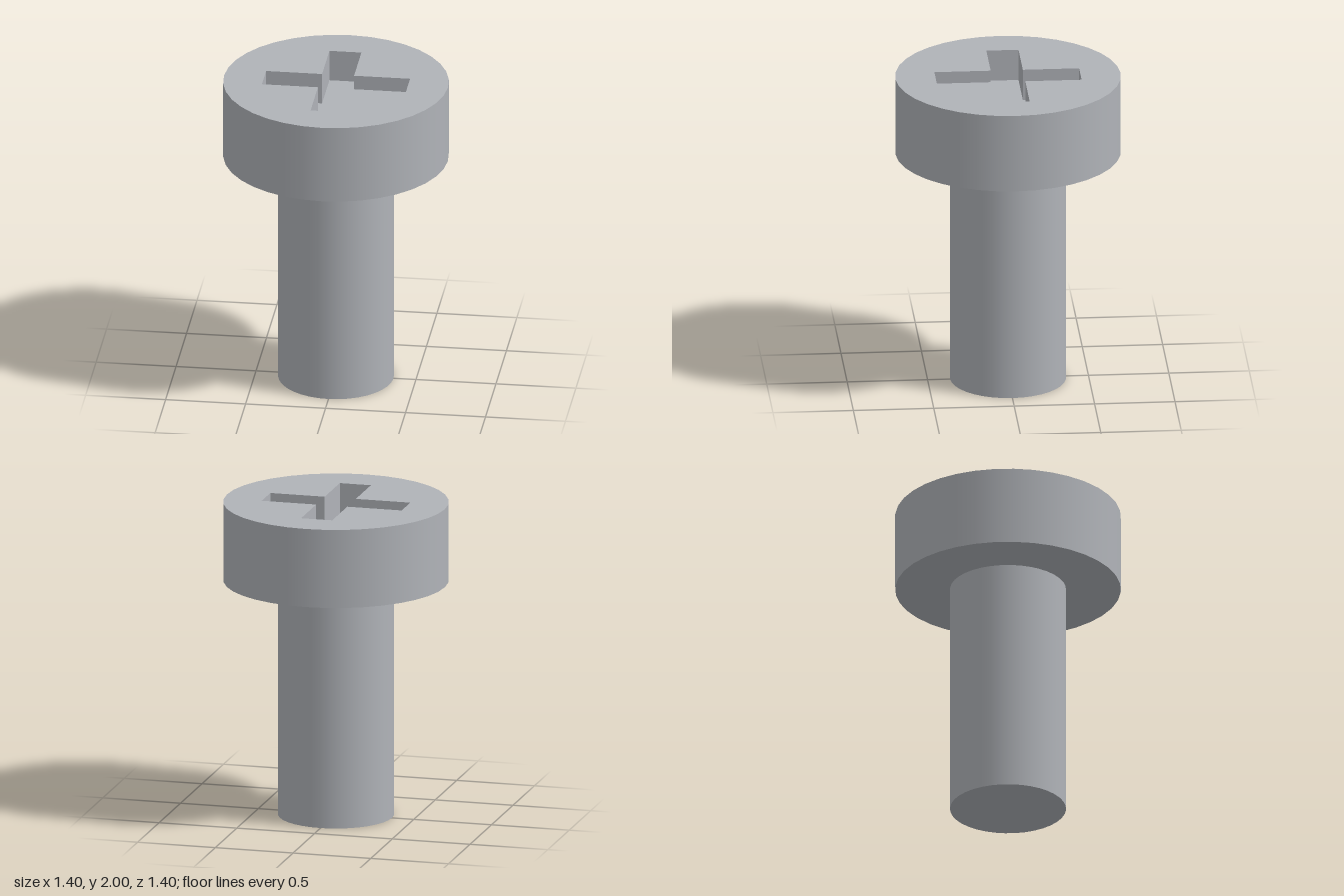
import * as THREE from 'three';

const SEGMENTS = 36;
const HEAD_R = 0.7, HEAD_BOTTOM = 1.5, TOP = 2;
const SHAFT_R = 0.36;
const ARM = 0.45, HALF = 0.1, SLOT_DEPTH = 0.2;

// Outline of the cross recess, counter-clockwise
function crossPoints() {
  return [
    [HALF, HALF], [HALF, ARM], [-HALF, ARM], [-HALF, HALF],
    [-ARM, HALF], [-ARM, -HALF], [-HALF, -HALF], [-HALF, -ARM],
    [HALF, -ARM], [HALF, -HALF], [ARM, -HALF], [ARM, HALF],
  ].map(([x, y]) => new THREE.Vector2(x, y));
}

function discPoints(radius) {
  return Array.from({ length: SEGMENTS }, (_, i) => {
    const a = (i / SEGMENTS) * Math.PI * 2;
    return new THREE.Vector2(radius * Math.cos(a), radius * Math.sin(a));
  });
}

export function createModel() {
  const steel = new THREE.MeshStandardMaterial({ color: 0xb0b3b8 });
  steel.name = 'steel grey';

  const screw = new THREE.Group();
  screw.name = 'screw';
  const head = new THREE.Group();
  head.name = 'head';
  const recess = new THREE.Group();
  recess.name = 'crossRecess';
  head.add(recess);
  screw.add(head);

  function add(parent, name, geometry, y) {
    const mesh = new THREE.Mesh(geometry, steel);
    mesh.name = name;
    mesh.position.y = y;
    parent.add(mesh);
    return mesh;
  }

  // Shaft
  add(screw, 'shaft',
    new THREE.CylinderGeometry(SHAFT_R, SHAFT_R, HEAD_BOTTOM, SEGMENTS), HEAD_BOTTOM / 2);

  // Head: side wall, underside and top face with a cross-shaped opening
  add(head, 'headSide',
    new THREE.CylinderGeometry(HEAD_R, HEAD_R, TOP - HEAD_BOTTOM, SEGMENTS, 1, true),
    (TOP + HEAD_BOTTOM) / 2);
  add(head, 'headUnderside',
    new THREE.RingGeometry(SHAFT_R, HEAD_R, SEGMENTS).rotateX(Math.PI / 2), HEAD_BOTTOM);
  const face = new THREE.Shape(discPoints(HEAD_R));
  face.holes.push(new THREE.Path(crossPoints()));
  add(head, 'headTop', new THREE.ShapeGeometry(face).rotateX(-Math.PI / 2), TOP);

  // Recess: floor and twelve walls facing inward
  const outline = crossPoints();
  add(recess, 'recessFloor',
    new THREE.ShapeGeometry(new THREE.Shape(outline)).rotateX(-Math.PI / 2), TOP - SLOT_DEPTH);
  outline.forEach((a, i) => {
    const b = outline[(i + 1) % outline.length];
    const dx = b.x - a.x, dy = b.y - a.y;
    const wall = add(recess, 'recessWall',
      new THREE.PlaneGeometry(Math.hypot(dx, dy), SLOT_DEPTH), TOP - SLOT_DEPTH / 2);
    wall.position.x = (a.x + b.x) / 2;
    wall.position.z = -(a.y + b.y) / 2;
    wall.rotation.y = Math.atan2(-dy, -dx);
  });

  return screw;
}
